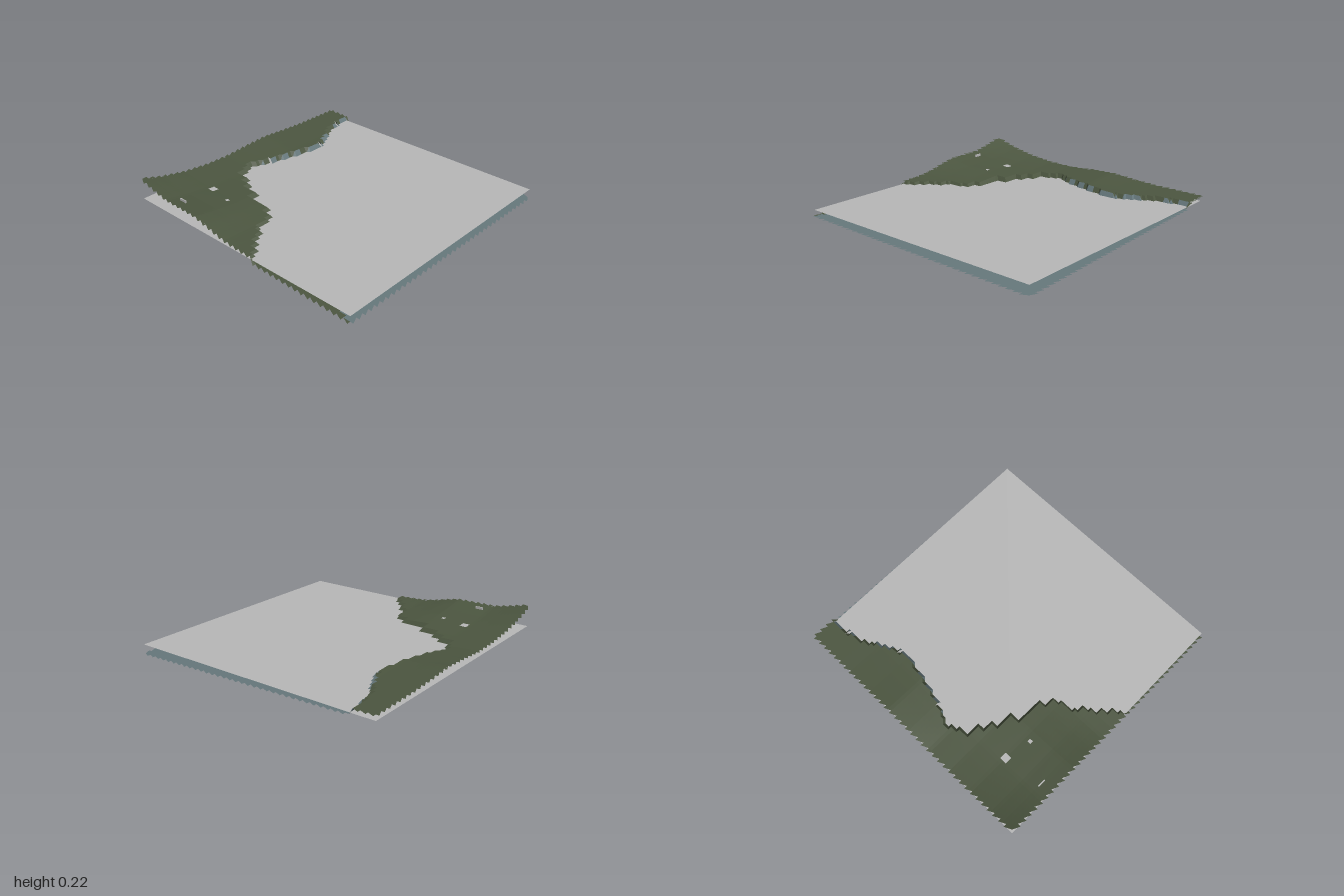
import * as THREE from 'three';

const mat = (name, color) => {
  const m = new THREE.MeshStandardMaterial({ color, side: THREE.DoubleSide, flatShading: true });
  m.name = name;
  return m;
};

// piecewise linear curve through [input, output] pairs
function curve(pts) {
  return (v) => {
    if (v <= pts[0][0]) return pts[0][1];
    for (let i = 1; i < pts.length; i++) {
      const [a, fa] = pts[i - 1], [b, fb] = pts[i];
      if (v <= b) return fa + ((fb - fa) * (v - a)) / (b - a);
    }
    return pts[pts.length - 1][1];
  };
}

// shoreline x for each z
const shore = curve([[-1, -0.82], [-0.85, -0.8], [-0.7, -0.74], [-0.6, -0.7], [-0.5, -0.64],
  [-0.4, -0.62], [-0.2, -0.66], [0, -0.71], [0.15, -0.78], [0.22, -0.74], [0.3, -0.72],
  [0.35, -0.6], [0.4, -0.53], [0.45, -0.4], [0.47, -0.27], [0.5, -0.2], [0.55, -0.12],
  [0.7, -0.07], [0.8, 0], [0.9, 0.1], [1, 0.17]]);
// land height along the right-hand edge (by z) and along the front edge (by x)
const sideRidge = curve([[-1, 0.105], [-0.6, 0.11], [-0.4, 0.12], [-0.2, 0.135], [0, 0.125],
  [0.2, 0.11], [0.4, 0.115], [0.6, 0.135], [0.8, 0.175], [0.9, 0.205], [1, 0.24]]);
const frontRidge = curve([[-1, 0.24], [-0.9, 0.215], [-0.8, 0.19], [-0.7, 0.17], [-0.4, 0.165],
  [-0.3, 0.145], [-0.2, 0.12], [-0.1, 0.1], [0, 0.092], [0.2, 0.084]]);
// where the muddy shelf under water gives way to the deep bed
const shelfEdge = curve([[-0.8, 0.05], [-0.33, 0.2], [0.11, 0.37], [0.61, 0.82], [1, 1]]);

const WATER = 0.068, EDGE = 0.975, N = 74, STEP = (2 * EDGE) / N;

const stair = (z) => Math.floor(z / (2 * STEP)) * 2 * STEP + STEP;
const isLand = (x, z) => x < shore(stair(z));

function height(x, z) {
  if (isLand(x, z)) {
    return 0.08 + ((sideRidge(z) - 0.08) * (frontRidge(x) - 0.08)) / 0.16;
  }
  const bed = 0.055 - 0.0305 * (x + 0.8) + 0.011 * (z + 1);
  return Math.max(0, Math.min(bed, 0.058));
}

// small gaps in the land
const holes = [[-0.655, 0.6], [-0.46, 0.65]];
const inHole = (x, z) => holes.some(([hx, hz]) => Math.abs(x - hx) < 0.02 && Math.abs(z - hz) < 0.02);

function surface(name, triangles, material) {
  const g = new THREE.BufferGeometry();
  g.setAttribute('position', new THREE.Float32BufferAttribute(triangles, 3));
  g.computeVertexNormals();
  const mesh = new THREE.Mesh(g, material);
  mesh.name = name;
  return mesh;
}

export function createModel() {
  const group = new THREE.Group();
  group.name = 'coastalTerrain';
  const green = mat('mossGreen', 0x4c5640);
  const teal = mat('deepTeal', 0x66787c);
  const grey = mat('waterGrey', 0xb8b8b8);

  const land = [], bed = [];
  const point = (x, z) => [x, height(x, z), z];
  const target = (x, z) => (isLand(x, z) || z > shelfEdge(x) ? land : bed);

  // terrain grid, split by colour
  for (let i = 0; i < N; i++) {
    for (let j = 0; j < N; j++) {
      const x = -EDGE + i * STEP, z = -EDGE + j * STEP;
      const cx = x + STEP / 2, cz = z + STEP / 2;
      if (inHole(cx, cz)) continue;
      const a = point(x, z), b = point(x, z + STEP);
      const c = point(x + STEP, z + STEP), d = point(x + STEP, z);
      target(cx, cz).push(...a, ...b, ...d, ...b, ...c, ...d);
    }
  }

  // saw-tooth border on all four sides
  for (let k = 0; k < N; k += 2) {
    const s = -EDGE + k * STEP, e = s + 2 * STEP;
    for (const side of [-1, 1]) {
      const inner = side * EDGE, outer = side;
      const tip = side < 0 ? s : e;
      const alongZ = [point(inner, s), point(inner, e), point(outer, tip)];
      const alongX = [point(s, inner), point(e, inner), point(tip, outer)];
      if (side > 0) alongX.reverse();
      else alongX.push(alongX.shift());
      if (side < 0) alongZ.reverse();
      // keep every tooth facing upward
      for (const [t, px, pz] of [[alongZ, inner, s], [alongX, s, inner]]) {
        const [p, q, r] = t;
        const up = (q[2] - p[2]) * (r[0] - p[0]) - (q[0] - p[0]) * (r[2] - p[2]);
        const tri = up > 0 ? [p, q, r] : [p, r, q];
        target(px, pz).push(...tri.flat());
      }
    }
  }
  group.add(surface('landAndShelf', land, green));
  group.add(surface('seabed', bed, teal));

  // flat water sheet
  const water = new THREE.Mesh(new THREE.PlaneGeometry(1.96, 1.96).rotateX(-Math.PI / 2), grey);
  water.name = 'waterSheet';
  water.position.y = WATER;
  group.add(water);

  // little pale outcrop near the front
  const outcrop = new THREE.Mesh(new THREE.BoxGeometry(0.06, 0.02, 0.008), grey);
  outcrop.name = 'outcrop';
  outcrop.position.set(-0.62, height(-0.62, 0.9) + 0.008, 0.9);
  group.add(outcrop);

  return group;
}
